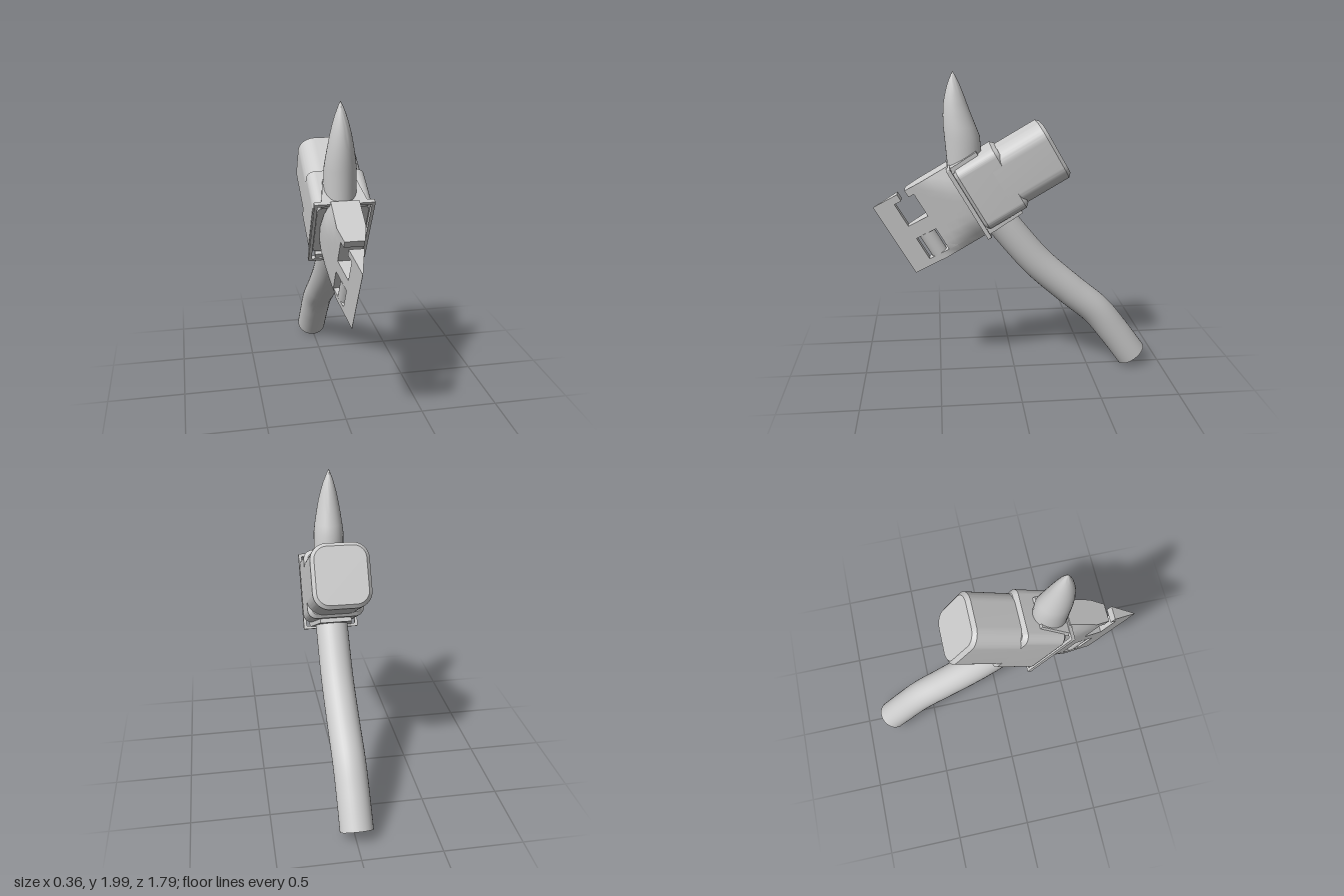
import * as THREE from 'three';
import { toCreasedNormals } from 'three/addons/utils/BufferGeometryUtils.js';

const steel = new THREE.MeshStandardMaterial({ color: 0xcccccc });
steel.name = 'grey steel';

function part(name, geometry, parent) {
  const mesh = new THREE.Mesh(geometry, steel);
  mesh.name = name;
  parent.add(mesh);
  return mesh;
}

// Piecewise linear interpolation through [t, value] points
function lerpTable(table, t) {
  for (let i = 1; i < table.length; i++) {
    const [a, va] = table[i - 1], [b, vb] = table[i];
    if (t <= b) return va + (vb - va) * Math.max(0, (t - a) / (b - a));
  }
  return table[table.length - 1][1];
}

// Rectangle with rounded corners
function roundedRect(w, y0, y1, r) {
  const s = new THREE.Shape();
  s.absarc(w - r, y1 - r, r, 0, Math.PI / 2);
  s.absarc(-w + r, y1 - r, r, Math.PI / 2, Math.PI);
  s.absarc(-w + r, y0 + r, r, Math.PI, Math.PI * 1.5);
  s.absarc(w - r, y0 + r, r, Math.PI * 1.5, Math.PI * 2);
  s.closePath();
  return s;
}

// Rounded block along z with bevelled ends
function block(w, y0, y1, r, z0, z1, bevel) {
  const geo = new THREE.ExtrudeGeometry(roundedRect(w - bevel, y0 + bevel, y1 - bevel, r - bevel * 0.5), {
    depth: z1 - z0 - 2 * bevel, bevelEnabled: bevel > 0, bevelSize: bevel,
    bevelThickness: bevel, bevelSegments: 1, curveSegments: 10,
  });
  geo.translate(0, 0, z0 + bevel);
  return toCreasedNormals(geo, 0.5);
}

// Wedge blade: a grid of cells whose thickness follows a rule, with cells left out for the cut-outs
function bladeGeometry() {
  const us = [-0.345, -0.28, -0.21, -0.14, -0.075, -0.035, 0.02, 0.07, 0.13, 0.2];
  const vs = [0.937, 0.98, 1.03, 1.085, 1.14, 1.19, 1.236, 1.29, 1.345, 1.402, 1.45];
  const profile = [[0.937, 0.06], [1.03, 0.107], [1.1, 0.123], [1.23, 0.129], [1.33, 0.118], [1.45, 0.085]];
  const half = (u, v) => Math.max(0.001, Math.min(lerpTable(profile, v), 0.25 * (0.2 - u)));
  const solid = (i, j) => {
    if (i < 0 || j < 0 || i >= us.length - 1 || j >= vs.length - 1) return false;
    const u = (us[i] + us[i + 1]) / 2, v = (vs[j] + vs[j + 1]) / 2;
    const inside = u > -0.075 && u < 0.07;
    if (inside && v > 0.98 && v < 1.14) return false;
    if (inside && v > 1.236 && v < 1.402) return false;
    return !(u > -0.035 && u < 0.02 && v > 1.402);
  };
  const pos = [];
  const quad = (a, b, c, d) => pos.push(...a, ...b, ...c, ...a, ...c, ...d);
  const at = (i, j, side) => [side * half(us[i], vs[j]), vs[j], us[i]];
  for (let i = 0; i < us.length - 1; i++) {
    for (let j = 0; j < vs.length - 1; j++) {
      if (!solid(i, j)) continue;
      const c = [[i, j], [i, j + 1], [i + 1, j + 1], [i + 1, j]];
      const l = c.map((p) => at(...p, 1)), r = c.map((p) => at(...p, -1));
      quad(l[0], l[1], l[2], l[3]);
      quad(r[3], r[2], r[1], r[0]);
      // walls where the neighbouring cell is empty
      [[-1, 0], [0, 1], [1, 0], [0, -1]].forEach(([di, dj], k) => {
        const n = (k + 1) % 4;
        if (!solid(i + di, j + dj)) quad(l[k], r[k], r[n], l[n]);
      });
    }
  }
  const geo = new THREE.BufferGeometry();
  geo.setAttribute('position', new THREE.Float32BufferAttribute(pos, 3));
  geo.computeVertexNormals();
  return toCreasedNormals(geo, 0.5);
}

// Curved spike: a lathe whose rings are shifted along a bend
function spikeGeometry() {
  const profile = [[1.3, 0.108], [1.45, 0.111], [1.6, 0.111], [1.66, 0.102], [1.73, 0.089],
    [1.8, 0.074], [1.86, 0.058], [1.92, 0.038], [1.97, 0.016], [2, 0]];
  const bend = [[1.3, 0.31], [1.45, 0.315], [1.6, 0.327], [1.7, 0.35], [1.8, 0.366], [1.9, 0.374], [2, 0.378]];
  const geo = new THREE.LatheGeometry(profile.map(([y, r]) => new THREE.Vector2(r, y)), 32);
  const p = geo.attributes.position;
  for (let i = 0; i < p.count; i++) {
    const y = p.getY(i);
    p.setX(i, p.getX(i) * 0.87 - 0.008 - 0.012 * Math.max(0, (y - 1.5) / 0.5));
    p.setZ(i, p.getZ(i) + lerpTable(bend, y));
  }
  return toCreasedNormals(geo, 0.8);
}

export function createModel() {
  const model = new THREE.Group();
  model.name = 'axeHammer';

  // Head, built level and then tilted forward
  const head = new THREE.Group();
  head.name = 'head';
  head.rotation.x = Math.PI / 6;
  model.add(head);

  part('hammerBlock', block(0.18, 0.993, 1.39, 0.09, -0.985, -0.55, 0.022), head);
  part('headBody', block(0.18, 0.975, 1.412, 0.045, -0.665, -0.352, 0.025), head);

  // Open rectangular frame between body and blade
  const frame = roundedRect(0.181, 0.934, 1.441, 0.006);
  frame.holes.push(roundedRect(0.162, 0.954, 1.421, 0.006));
  const frameGeo = new THREE.ExtrudeGeometry(frame, { depth: 0.026, bevelEnabled: false, curveSegments: 2 });
  part('collarFrame', frameGeo.translate(0, 0, -0.357), head);

  // Tapered mounting plates above and below the body
  for (const [name, y, rear] of [['spikeBase', 1.4, -0.545], ['handleBase', 0.948, -0.6]]) {
    const s = new THREE.Shape([[-0.14, 0.34], [0.14, 0.34], [0.1, -rear], [-0.1, -rear]]
      .map(([x, z]) => new THREE.Vector2(x, z)));
    const geo = new THREE.ExtrudeGeometry(s, { depth: 0.037, bevelEnabled: false });
    part(name, geo.rotateX(-Math.PI / 2).translate(0, y, 0), head);
  }

  // Blade with a roller in its lower opening
  part('wedgeBlade', bladeGeometry(), head);
  const roller = part('bladeRoller', new THREE.CylinderGeometry(0.052, 0.052, 0.164, 28), head);
  roller.position.set(0, 1.061, -0.004);

  part('topSpike', spikeGeometry(), model);

  // Bent handle with end caps
  const path = new THREE.CatmullRomCurve3([
    [0.008, 1.13, 0.155], [0.008, 1.036, 0.076], [0.008, 0.766, -0.15], [0.004, 0.56, -0.375],
    [0, 0.405, -0.555], [-0.003, 0.25, -0.68], [-0.005, 0.071, -0.81],
  ].map((p) => new THREE.Vector3(...p)));
  part('handle', new THREE.TubeGeometry(path, 48, 0.104, 32), model);
  for (const [t, sign, name] of [[0, -1, 'handleTopCap'], [1, 1, 'handleEndCap']]) {
    const cap = part(name, new THREE.CircleGeometry(0.104, 32), model);
    cap.position.copy(path.getPointAt(t));
    cap.lookAt(cap.position.clone().addScaledVector(path.getTangentAt(t), sign));
  }
  return model;
}
